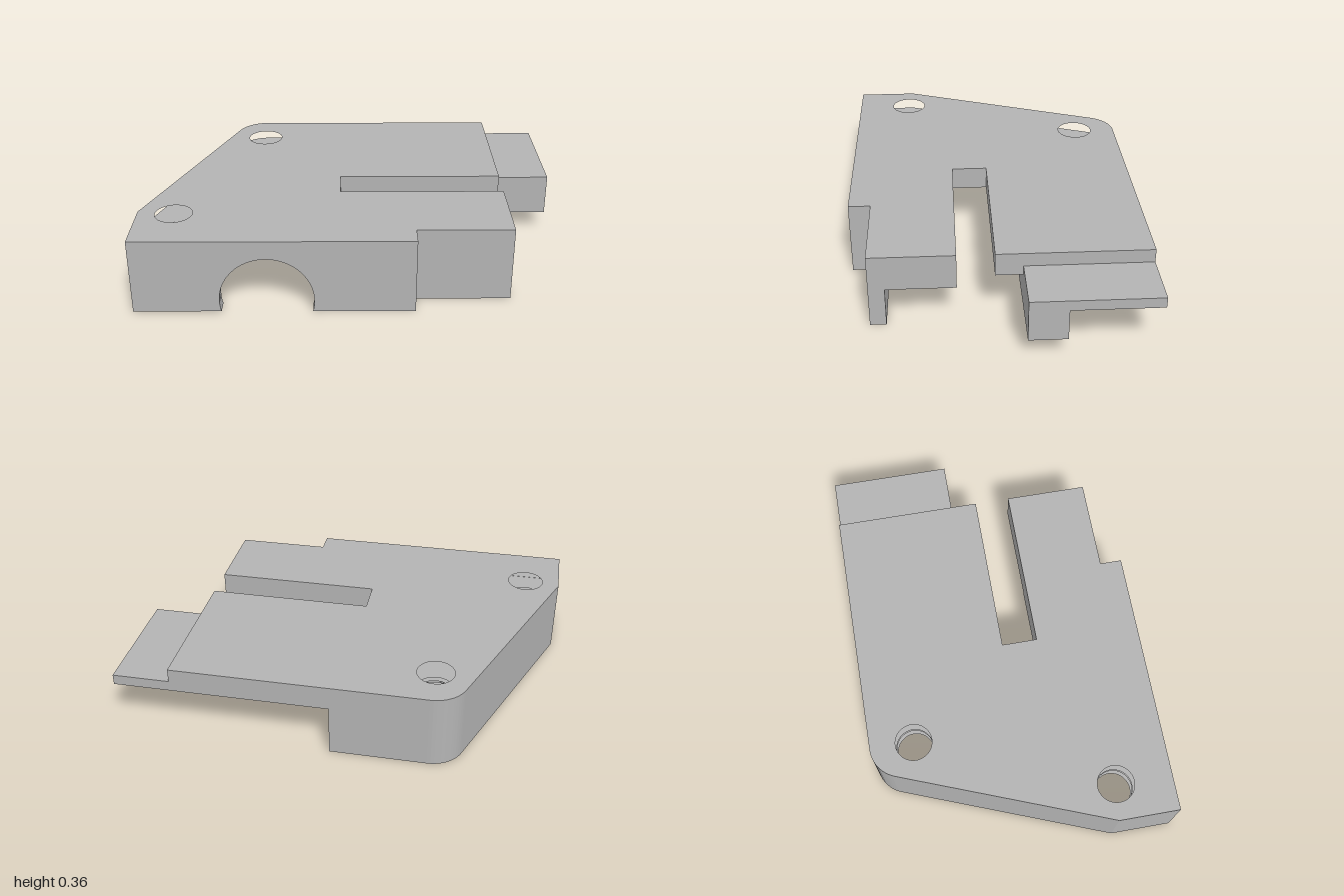
import * as THREE from 'three';

const CHANNEL = { x: -0.39, y: 0.055, r: 0.215 };
const HOLES = [[-0.47, -0.48], [-0.83, 0.42]];
const HOLE_R = 0.087;

// Rounded back corner as [x, z] points, from the slanted side to the back
function corner(r) {
  const pts = [];
  const a0 = Math.atan2(-0.359, -0.934), a1 = -Math.PI / 2;
  for (let i = 0; i <= 12; i++) {
    const a = a0 + (a1 - a0) * i / 12;
    pts.push([-0.47 + r * Math.cos(a), -0.533 + r * Math.sin(a)]);
  }
  return pts;
}

export function createModel() {
  const group = new THREE.Group();
  const grey = new THREE.MeshStandardMaterial({ color: 0xb4b4b4 });
  grey.name = 'plain grey';

  const add = (name, geo) => {
    const mesh = new THREE.Mesh(geo, grey);
    mesh.name = name;
    group.add(mesh);
  };

  const box = (name, x0, x1, y0, y1, z0, z1) => {
    const geo = new THREE.BoxGeometry(x1 - x0, y1 - y0, z1 - z0);
    geo.translate((x0 + x1) / 2, (y0 + y1) / 2, (z0 + z1) / 2);
    add(name, geo);
  };

  // Horizontal slab from an [x, z] outline, with round holes through it
  const slab = (name, outline, y0, y1, holes = []) => {
    const shape = new THREE.Shape(outline.map(([x, z]) => new THREE.Vector2(x, -z)));
    for (const [x, z] of holes) {
      shape.holes.push(new THREE.Path().absarc(x, -z, HOLE_R, 0, Math.PI * 2, true));
    }
    const geo = new THREE.ExtrudeGeometry(shape, { depth: y1 - y0, bevelEnabled: false, curveSegments: 32 });
    geo.rotateX(-Math.PI / 2);
    geo.translate(0, y0, 0);
    add(name, geo);
  };

  // Front-facing profile extruded along z
  const profile = (name, shape, z0, z1) => {
    const geo = new THREE.ExtrudeGeometry(shape, { depth: z1 - z0, bevelEnabled: false, curveSegments: 32 });
    geo.translate(0, 0, z0);
    add(name, geo);
  };

  // Outline pieces shared by the plate layers
  const left = [[-1, 0.69], [-1, 0.4], ...corner(0.157)];
  const slot = [[0.73, 0.02], [-0.06, 0.02], [-0.06, 0.19], [0.73, 0.19]];
  const frontRight = [[0.73, 0.585], [0.285, 0.585], [0.285, 0.69]];
  const notch = [[-0.175, 0.69], [-0.175, 0.19], [-0.605, 0.19], [-0.605, 0.69]];

  // Top plate, and the layers under it that leave room for channel and pocket
  slab('topPlate', [...left, [0.73, -0.69], ...slot, ...frontRight], 0.27, 0.36, HOLES);
  slab('upperLayer', [...left, [0.73, -0.69], ...slot, ...frontRight, ...notch], 0.25, 0.27, HOLES);
  slab('lowerLayer', [
    ...left, [-0.016, -0.69], [-0.016, -0.105], [-0.245, -0.105], [-0.245, 0.19 - 0.001],
    [-0.605, 0.189], [-0.605, 0.69],
  ], 0.19, 0.25, HOLES);
  slab('frontLayer', [[-0.175, 0.69], [-0.175, 0.19], [0.73, 0.19], ...frontRight], 0.19, 0.25);

  // Curved roof of the round channel
  const c = CHANNEL;
  const side = Math.asin((0.19 - c.y) / c.r);
  const roof = new THREE.Shape();
  roof.moveTo(c.x - c.r, 0.19);
  roof.lineTo(c.x - c.r * Math.cos(side), 0.19);
  roof.absarc(c.x, c.y, c.r, Math.PI - side, side, true);
  roof.lineTo(c.x + c.r, 0.19);
  roof.lineTo(c.x + c.r, 0.27);
  roof.lineTo(c.x - c.r, 0.27);
  profile('channelRoof', roof, 0.19, 0.69);

  // Front wall with the round opening
  const foot = Math.asin(-c.y / c.r);
  const front = new THREE.Shape();
  front.moveTo(-1, 0);
  front.lineTo(c.x - c.r * Math.cos(foot), 0);
  front.absarc(c.x, c.y, c.r, Math.PI - foot, foot, true);
  front.lineTo(0.285, 0);
  front.lineTo(0.285, 0.271);
  front.lineTo(-1, 0.271);
  profile('frontWall', front, 0.62, 0.69);
  box('frontWallStep', 0.19, 0.285, 0, 0.19, 0.51, 0.62);
  box('frontWallEnd', 0.285, 0.73, 0, 0.19, 0.51, 0.585);

  // Slanted side wall running round the corner into the back wall
  slab('sideWall', [
    ...left, [-0.016, -0.69], [-0.016, -0.63],
    ...corner(0.097).reverse(), [-0.94, 0.412], [-0.94, 0.69],
  ], 0, 0.19);

  // Screw bosses
  for (const [x, z] of HOLES) {
    const ring = [];
    for (let i = 0; i < 48; i++) {
      const a = i / 48 * Math.PI * 2;
      ring.push([x + 0.16 * Math.cos(a), z + 0.16 * Math.sin(a)]);
    }
    slab('screwBoss', ring, 0, 0.19, [[x, z]]);
  }

  // Tab sheet and the rib that carries it
  box('tab', -0.016, 1, 0.245, 0.295, -0.69, -0.105);
  box('rib', -0.17, 1, 0.095, 0.25, -0.28, -0.105);
  box('ribShelf', -0.016, 0.66, 0.145, 0.25, -0.44, -0.28);
  box('ribBridge', -0.245, -0.016, 0.135, 0.19, -0.345, -0.105);
  box('ribEndBlock', -0.48, -0.245, 0.04, 0.19, -0.29, -0.105);

  // Raised pad under the front arm
  box('armPad', -0.17, 0.27, 0.175, 0.19, 0.19, 0.37);

  return group;
}
